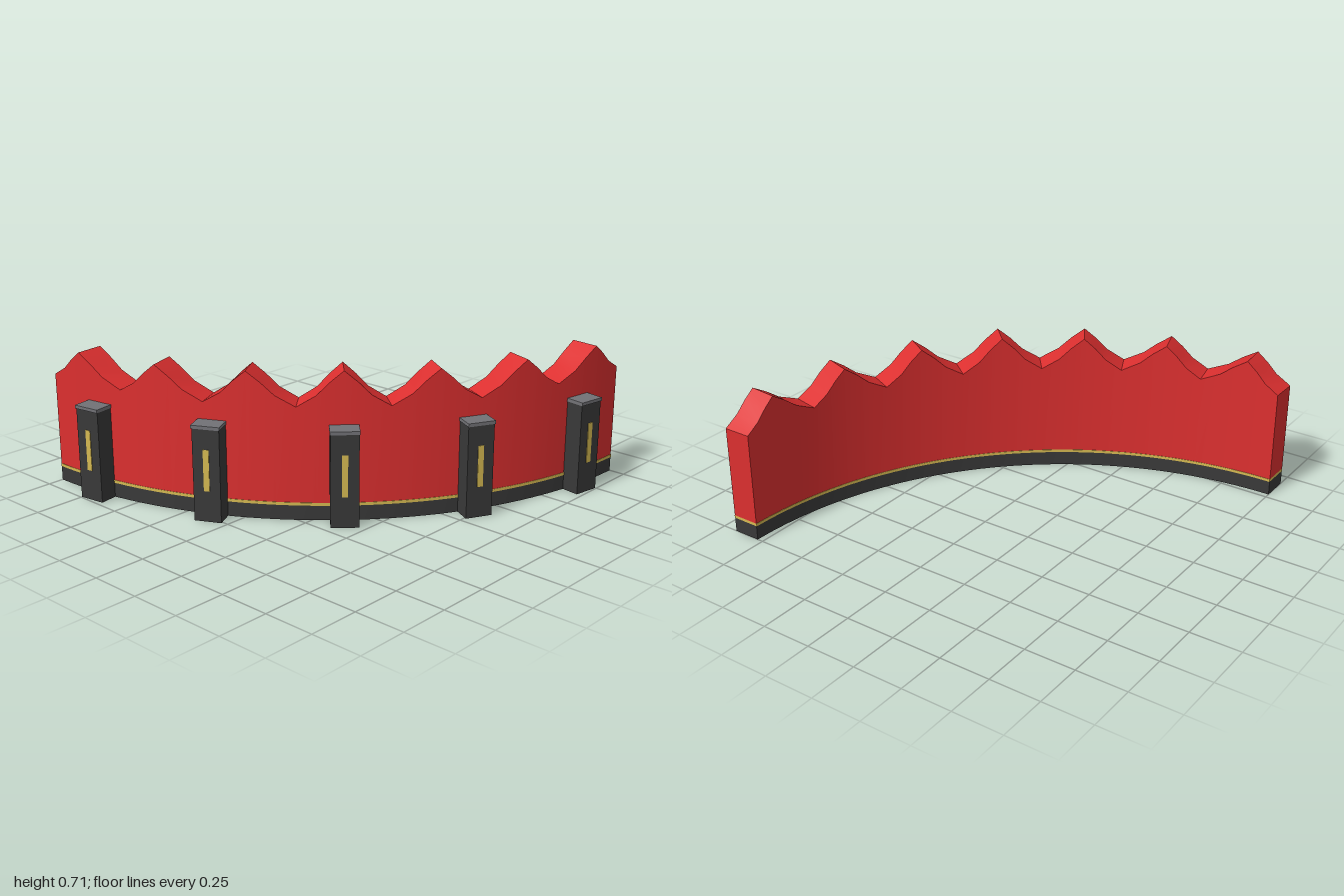
import * as THREE from 'three';
import { mergeGeometries } from 'three/addons/utils/BufferGeometryUtils.js';

const mat = (name, color) => new THREE.MeshStandardMaterial({ name, color });
const R_IN = 1.78, R_OUT = 1.92;

// point on the quarter circle centred on (1, -1); t = 0 is the right-hand end in front view
const at = (r, y, deg) => {
  const t = THREE.MathUtils.degToRad(deg);
  return new THREE.Vector3(1 - r * Math.sin(t), y, -1 + r * Math.cos(t));
};

// band of quads between two rows of points, smooth inside the band
function strip(a, b) {
  const g = new THREE.BufferGeometry().setFromPoints([...a, ...b]);
  const n = a.length, index = [];
  for (let i = 0; i < n - 1; i++) index.push(i, n + i, i + 1, i + 1, n + i, n + i + 1);
  g.setIndex(index);
  g.computeVertexNormals();
  return g;
}

// closed curved wall; samples = [angle, topHeight], creases = sample indices with a sharp top edge
function curvedWall(rIn, rOut, y0, samples, creases) {
  const row = (r, top) => samples.map(([d, h]) => at(r, top ? h : y0, d));
  const bo = row(rOut, false), bi = row(rIn, false), to = row(rOut, true), ti = row(rIn, true);
  const e = samples.length - 1;
  const parts = [
    strip(bo, to), strip(ti, bi), strip(bi, bo),
    strip([bi[0], bo[0]], [ti[0], to[0]]),
    strip([bo[e], bi[e]], [to[e], ti[e]]),
  ];
  for (let i = 0; i < creases.length - 1; i++) {
    const s = creases[i], f = creases[i + 1] + 1;
    parts.push(strip(to.slice(s, f), ti.slice(s, f)));
  }
  return mergeGeometries(parts);
}

export function createModel() {
  const group = new THREE.Group();
  const red = mat('red', 0xdc2f2f);
  const charcoal = mat('charcoal', 0x393939);
  const gold = mat('gold', 0xd6ba52);
  const grey = mat('grey', 0x727276);

  const add = (parent, name, geometry, material) => {
    const mesh = new THREE.Mesh(geometry, material);
    mesh.name = name;
    parent.add(mesh);
    return mesh;
  };

  // plinth and trim line
  const level = (h) => Array.from({ length: 49 }, (_, i) => [i * 90 / 48, h]);
  add(group, 'plinth', curvedWall(R_IN, R_OUT, 0, level(0.072), [0, 48]), charcoal);
  add(group, 'trimLine', curvedWall(R_IN - 0.002, R_OUT + 0.002, 0.072, level(0.086), [0, 48]), gold);

  // wall with seven pointed crests, tallest in the middle
  const valley = 0.545, samples = [[0, valley]], creases = [0];
  const curve = [[0.42, 0.32], [0.7, 0.68]];
  for (let k = 0; k < 7; k++) {
    const start = k * 90 / 7, end = (k + 1) * 90 / 7;
    const peak = 45 + (k - 3) * 13.2, height = 0.715 - 0.01 * Math.abs(k - 3);
    const put = (from, s, f) =>
      samples.push([from + (peak - from) * s, valley + (height - valley) * f]);
    curve.forEach(([s, f]) => put(start, s, f));
    put(start, 1, 1);
    creases.push(samples.length - 1);
    [...curve].reverse().forEach(([s, f]) => put(end, s, f));
    put(end, 0, 0);
    creases.push(samples.length - 1);
  }
  add(group, 'crestedWall', curvedWall(R_IN, R_OUT, 0.086, samples, creases), red);

  // five buttress posts with caps and slit inlays on the outer side
  for (let k = 0; k < 5; k++) {
    const deg = 9 + 18 * k;
    const post = new THREE.Group();
    post.name = 'post';
    post.position.copy(at(0, 0, deg));
    post.rotation.y = -THREE.MathUtils.degToRad(deg);
    group.add(post);
    add(post, 'postBody', new THREE.BoxGeometry(0.13, 0.447, 0.126), charcoal)
      .position.set(0, 0.2235, 1.946);
    add(post, 'postCap', new THREE.BoxGeometry(0.136, 0.016, 0.134), grey)
      .position.set(0, 0.455, 1.947);
    add(post, 'postSlit', new THREE.BoxGeometry(0.028, 0.2, 0.006), gold)
      .position.set(0, 0.25, 2.009);
  }
  return group;
}
